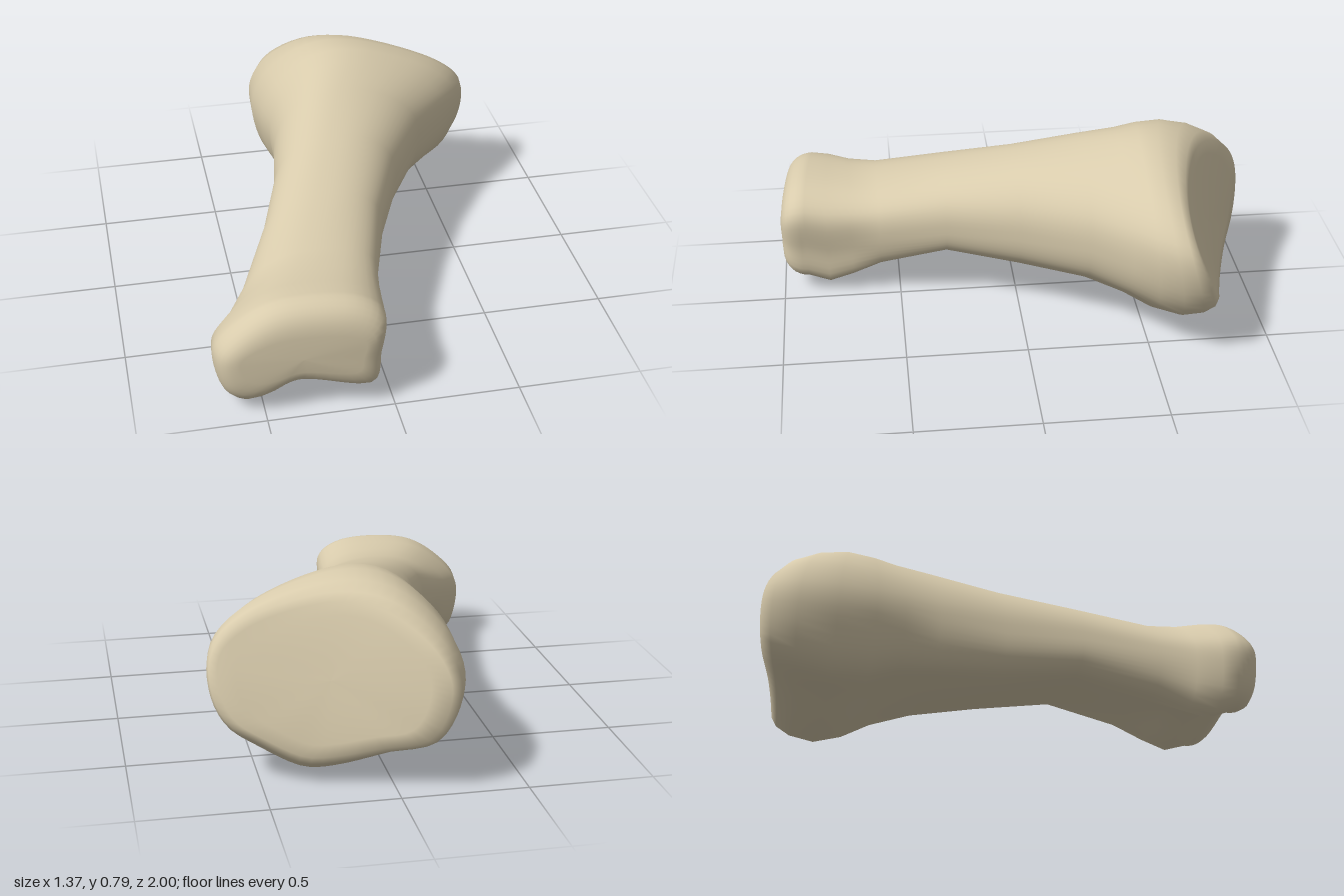
import * as THREE from 'three';

const SIDES = 64;
const { smoothstep, clamp } = THREE.MathUtils;

// Scale a loop of points so that it fills the square from -1 to 1
function normalise(points) {
  const box = new THREE.Box2().setFromPoints(points);
  const c = box.getCenter(new THREE.Vector2());
  const s = box.getSize(new THREE.Vector2()).multiplyScalar(0.5);
  return points.map(p => new THREE.Vector2((p.x - c.x) / s.x, (p.y - c.y) / s.y));
}

// Smooth a closed profile and resample it at even angles about its centre
function profile(pairs) {
  const curve = new THREE.CatmullRomCurve3(
    pairs.map(([x, y]) => new THREE.Vector3(x, y, 0)), true, 'centripetal');
  const dense = normalise(curve.getPoints(800).map(p => new THREE.Vector2(p.x, p.y)));
  return Array.from({ length: SIDES }, (_, j) => {
    const a = j / SIDES * Math.PI * 2;
    const dir = new THREE.Vector2(Math.cos(a), Math.sin(a));
    return dense.reduce((best, p) =>
      p.dot(dir) / p.length() > best.dot(dir) / best.length() ? p : best);
  });
}

// Two-lobed knuckle
const head = profile([[-0.69, 0.22], [-0.67, 0.3], [-0.52, 0.44], [-0.39, 0.485],
  [-0.12, 0.47], [-0.02, 0.39], [-0.03, 0.2], [-0.06, 0.045], [-0.37, 0.095],
  [-0.5, 0.02], [-0.58, 0], [-0.65, 0.05]]);

// Broad oval base
const base = profile([[-0.29, 0.4], [-0.25, 0.57], [-0.13, 0.71], [0, 0.78], [0.18, 0.785],
  [0.54, 0.65], [0.67, 0.52], [0.68, 0.35], [0.62, 0.21], [0.5, 0.12], [0.32, 0.025],
  [0.2, 0.03], [0, 0.085], [-0.2, 0.15]]);

// Shaft, round above and flatter below
const shaft = Array.from({ length: SIDES }, (_, j) => {
  const a = j / SIDES * Math.PI * 2;
  const power = Math.sin(a) < 0 ? 0.7 : 0.9;
  return new THREE.Vector2(Math.sign(Math.cos(a)) * Math.abs(Math.cos(a)) ** power,
    Math.sign(Math.sin(a)) * Math.abs(Math.sin(a)) ** power);
});

// z, left, right, bottom, top
const body = [
  [0.87, -0.685, -0.02, 0.03, 0.485],
  [0.79, -0.68, -0.01, 0, 0.478],
  [0.7, -0.61, 0, 0.045, 0.472],
  [0.58, -0.53, 0.02, 0.115, 0.475],
  [0.3, -0.395, 0.105, 0.195, 0.55],
  [0, -0.3, 0.23, 0.17, 0.633],
  [-0.27, -0.255, 0.395, 0.14, 0.71],
  [-0.42, -0.25, 0.55, 0.11, 0.752],
  [-0.52, -0.265, 0.63, 0.055, 0.778],
  [-0.63, -0.285, 0.675, 0.025, 0.785],
  [-0.73, -0.275, 0.685, 0.045, 0.765],
  [-0.79, -0.235, 0.68, 0.085, 0.735],
  [-0.812, -0.19, 0.65, 0.12, 0.7],
];

// One loop of vertices; the loops lean and warp towards the back joint
function ring([z, x0, x1, y0, y1], scaleX = 1, scaleY = 1, shift = 0) {
  const wHead = smoothstep(z, 0.35, 0.78);
  const wBase = 1 - smoothstep(z, -0.55, 0.15);
  const lean = clamp((-0.45 - z) / 0.36, 0, 1);
  const slopeX = 0.15 * lean ** 1.3 + 0.025 * smoothstep(z, 0.7, 0.87);
  const slopeY = 0.08 * lean ** 0.8;
  const warp = 0.0375 * lean;
  const loop = normalise(shaft.map((s, j) => new THREE.Vector2()
    .addScaledVector(head[j], wHead)
    .addScaledVector(s, 1 - wHead - wBase)
    .addScaledVector(base[j], wBase)));
  return loop.flatMap(p => {
    const u = p.x * scaleX, v = p.y * scaleY;
    return [(x0 + x1) / 2 + u * (x1 - x0) / 2, (y0 + y1) / 2 + v * (y1 - y0) / 2,
      z + shift + slopeX * u + slopeY * v + warp * (v * v - u * u + u * v)];
  });
}

// Skin the loops from front to back
function loft(rings) {
  const index = [];
  for (let i = 0; i < rings.length - 1; i++) {
    for (let j = 0; j < SIDES; j++) {
      const k = (j + 1) % SIDES;
      const a = i * SIDES + j, b = i * SIDES + k;
      const c = a + SIDES, d = b + SIDES;
      index.push(a, c, b, b, c, d);
    }
  }
  const geometry = new THREE.BufferGeometry();
  geometry.setAttribute('position', new THREE.Float32BufferAttribute(rings.flat(), 3));
  geometry.setIndex(index);
  geometry.computeVertexNormals();
  return geometry;
}

export function createModel() {
  const boneMaterial = new THREE.MeshStandardMaterial({ color: 0xd8cbac });
  boneMaterial.name = 'bone';

  const rings = [];
  // Barrel-shaped front of the knuckle, rounded more in height than in width
  for (let i = 8; i > 0; i--) {
    const a = i / 8 * Math.PI / 2;
    const c = i === 8 ? 0 : Math.cos(a);
    rings.push(ring(body[0], c ** 0.2, c ** 0.5, 0.115 * Math.sin(a)));
  }
  // Knuckle, shaft and base
  rings.push(...body.map(row => ring(row)));
  // Slightly dished back joint
  for (let i = 1; i <= 6; i++) {
    const t = i / 6;
    rings.push(ring(body[body.length - 1], 1 - t, 1 - t, 0.025 * Math.sin(t * Math.PI / 2)));
  }

  const bone = new THREE.Mesh(loft(rings), boneMaterial);
  bone.name = 'toeBone';
  const model = new THREE.Group();
  model.name = 'bone';
  model.add(bone);
  return model;
}
